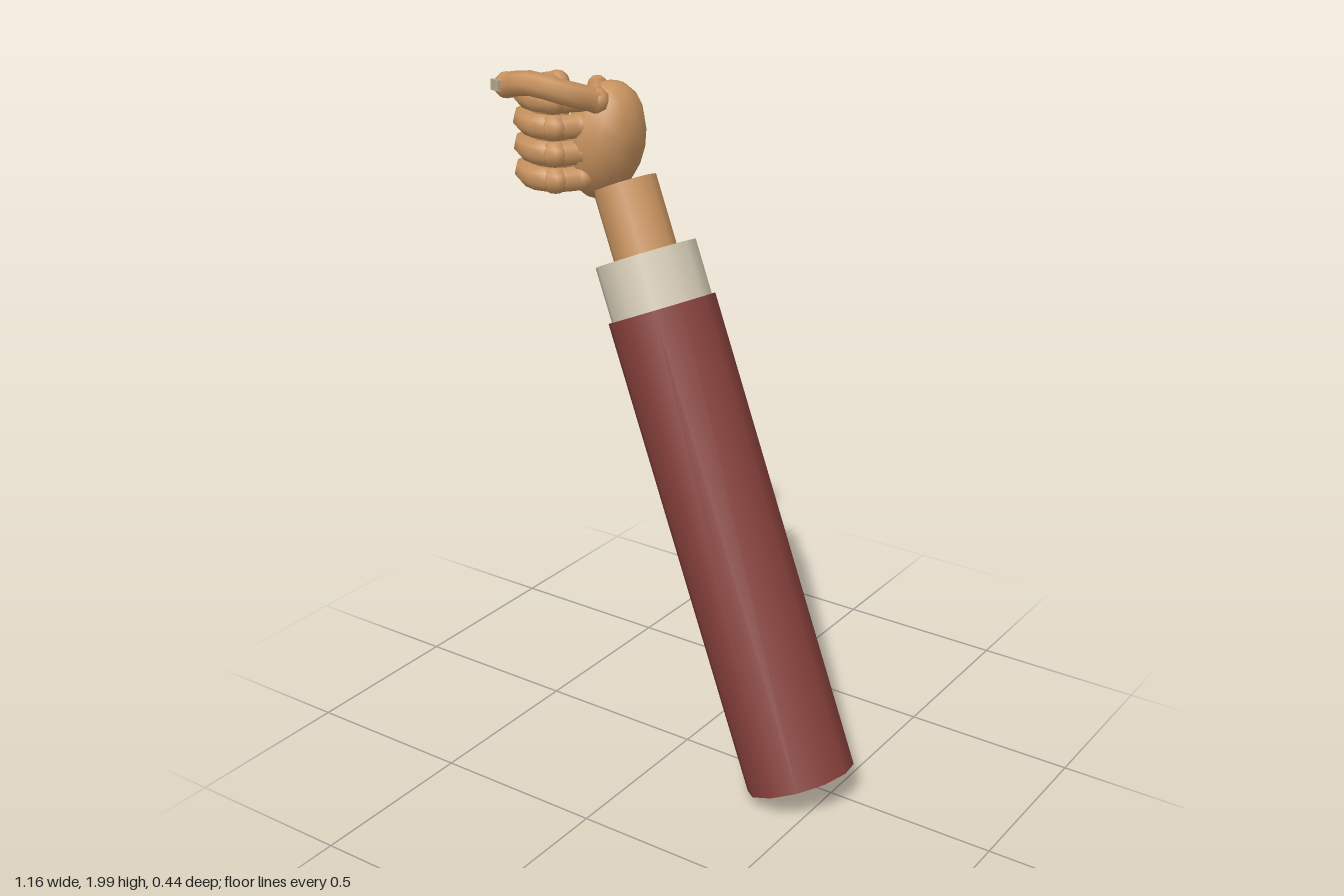
import * as THREE from 'three';

const material = (name, color) => {
  const m = new THREE.MeshStandardMaterial({ color });
  m.name = name;
  return m;
};

export function createModel() {
  const group = new THREE.Group();
  const red = material('sleeveRed', 0x843f3a);
  const cream = material('cuffCream', 0xd2c9b3);
  const skin = material('skin', 0xc8935f);
  const nailTone = material('nail', 0xb5a78f);
  const V = (x, y, z) => new THREE.Vector3(x, y, z);

  const add = (parent, name, geometry, mat, position) => {
    const mesh = new THREE.Mesh(geometry, mat);
    mesh.name = name;
    if (position) mesh.position.copy(position);
    parent.add(mesh);
    return mesh;
  };

  // Sleeve, cuff and wrist share one slanted axis, measured from the sleeve's base
  const base = V(0.437, 0.07, 0.067);
  const axis = V(-0.565, 1.263, -0.127).normalize();
  const along = (name, from, to, r, mat) => {
    const mesh = add(group, name, new THREE.CylinderGeometry(r, r, to - from, 12), mat,
      base.clone().addScaledVector(axis, (from + to) / 2));
    mesh.quaternion.setFromUnitVectors(V(0, 1, 0), axis);
  };
  along('sleeve', 0, 1.39, 0.157, red);
  along('cuff', 1.33, 1.549, 0.147, cream);
  along('wrist', 1.45, 1.753, 0.092, skin);

  // Palm: tilted ellipsoid
  const palm = add(group, 'palm', new THREE.SphereGeometry(1, 12, 10), skin, V(-0.333, 1.78, -0.083));
  palm.scale.set(0.107, 0.17, 0.127);
  palm.rotation.z = -0.22;

  // A bent digit with round ends
  const digit = (name, points, r, segments) => {
    const part = new THREE.Group();
    part.name = name;
    group.add(part);
    const curve = new THREE.CatmullRomCurve3(points);
    add(part, name + 'Tube', new THREE.TubeGeometry(curve, segments, r, 7), skin);
    for (const p of [points[0], points[points.length - 1]])
      add(part, name + 'End', new THREE.SphereGeometry(r * 1.06, 8, 6), skin, p);
    return part;
  };

  // Four fingers curling around an empty grip
  const path = [[-0.345, 0.015], [-0.385, 0.07], [-0.44, 0.083], [-0.5, 0.055],
    [-0.54, 0.005], [-0.545, -0.05], [-0.522, -0.115]];
  ['indexFinger', 'middleFinger', 'ringFinger', 'littleFinger'].forEach((name, i) => {
    const y = 1.91 - i * 0.073;
    const finger = digit(name, path.map(([x, z]) => V(x, y, z)), 0.034, 9);
    add(finger, name + 'Knuckle', new THREE.SphereGeometry(0.038, 8, 6), skin, V(-0.387, y, 0.075));
  });

  // Thumb root and thumb laid across the top of the fist
  digit('thumbRoot', [V(-0.375, 1.922, -0.107), V(-0.337, 1.92, -0.055), V(-0.305, 1.91, -0.005)], 0.027, 3);
  digit('thumb', [V(-0.302, 1.907, -0.005), V(-0.34, 1.938, 0.08), V(-0.418, 1.963, 0.128),
    V(-0.518, 1.944, 0.108)], 0.035, 6);

  // Thumbnail: thin plate at the tip
  const nail = add(group, 'thumbnail', new THREE.BoxGeometry(0.035, 0.03, 0.008), nailTone, V(-0.53, 1.948, 0.142));
  nail.rotation.y = -0.25;

  return group;
}
